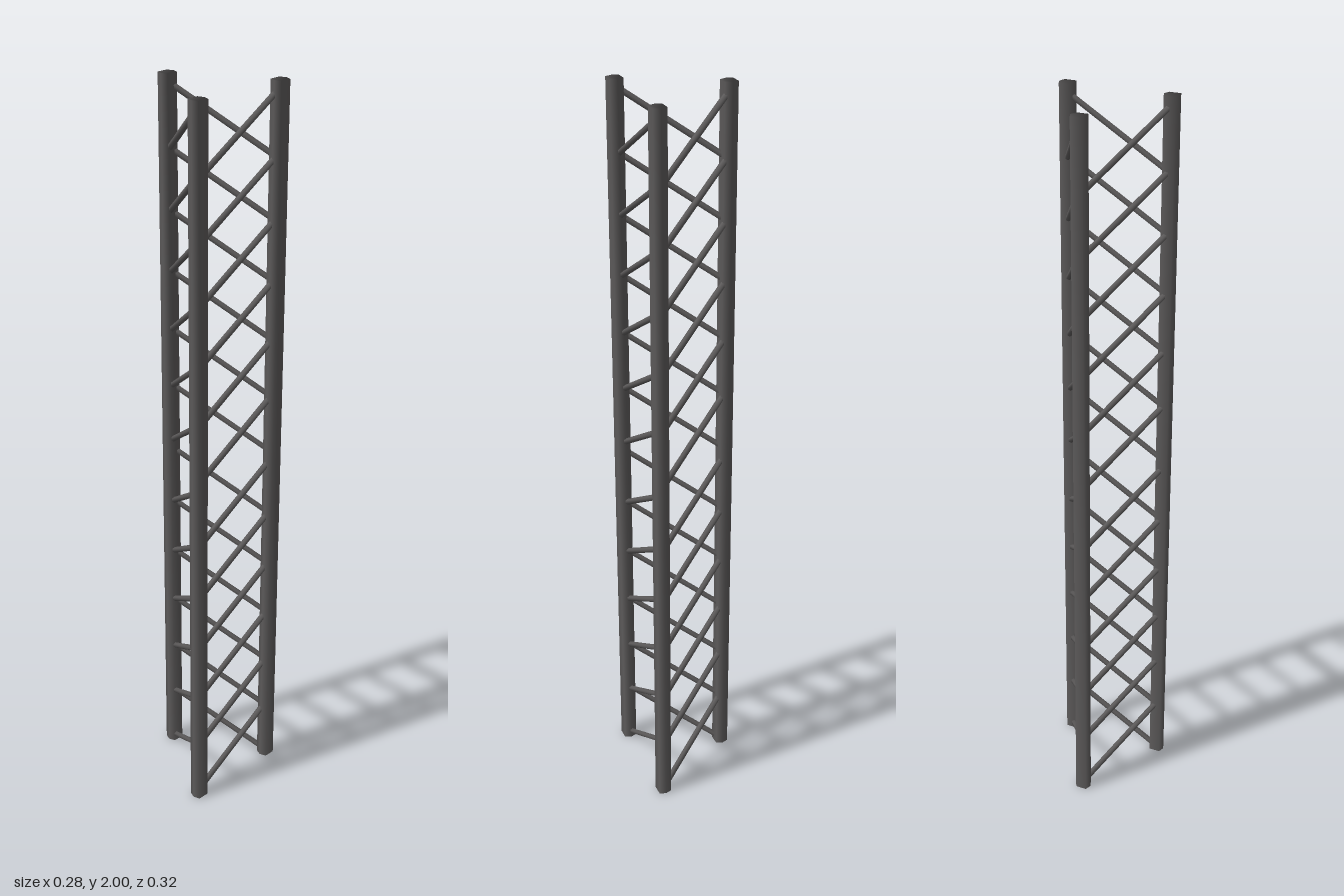
import * as THREE from 'three';
import { mergeVertices } from 'three/addons/utils/BufferGeometryUtils.js';

const steel = new THREE.MeshStandardMaterial({ color: 0x5c5a5a });
steel.name = 'dark steel';

// Share normals across sides and caps for a softly shaded bar
function soften(geometry) {
  geometry.deleteAttribute('uv');
  geometry.deleteAttribute('normal');
  const merged = mergeVertices(geometry);
  merged.computeVertexNormals();
  return merged;
}

// Upright pole: a square tube whose front and back faces rise to a shallow ridge
function pole(name, x, z) {
  const profile = new THREE.Shape([
    [0.0178, -0.0155], [0.0178, 0.0155], [0, 0.022],
    [-0.0178, 0.0155], [-0.0178, -0.0155], [0, -0.022],
  ].map(([px, py]) => new THREE.Vector2(px, py)));
  const geometry = new THREE.ExtrudeGeometry(profile, { depth: 2, bevelEnabled: false });
  geometry.rotateX(-Math.PI / 2);
  const mesh = new THREE.Mesh(soften(geometry), steel);
  mesh.name = name;
  mesh.position.set(x, 0, z);
  return mesh;
}

// Thin six-sided brace between two points
function brace(from, to) {
  const geometry = new THREE.CylinderGeometry(0.008, 0.008, from.distanceTo(to), 6);
  const mesh = new THREE.Mesh(soften(geometry), steel);
  mesh.name = 'brace';
  mesh.position.lerpVectors(from, to, 0.5);
  mesh.quaternion.setFromUnitVectors(
    new THREE.Vector3(0, 1, 0),
    to.clone().sub(from).normalize()
  );
  return mesh;
}

export function createModel() {
  const tower = new THREE.Group();
  tower.name = 'latticeTower';

  // Pole positions in the order the braces climb around the tower;
  // the braces meet slightly inside the pole centres
  const corners = [
    { name: 'front', x: 0.121, z: 0.1375, braceX: 0.117, braceZ: 0.1375 },
    { name: 'back', x: 0.121, z: -0.1375, braceX: 0.117, braceZ: -0.1375 },
    { name: 'side', x: -0.1215, z: 0.004, braceX: -0.1215, braceZ: 0.002 },
  ];
  const joint = (corner, y) => new THREE.Vector3(corner.braceX, y, corner.braceZ);

  // Upright poles
  for (const c of corners) tower.add(pole(c.name + 'Pole', c.x, c.z));

  // Two stacked sections, six parallel diagonal braces on each face
  const pitch = 0.161, rise = 0.084;
  corners.forEach((low, i) => {
    const high = corners[(i + 1) % 3];
    const face = new THREE.Group();
    face.name = low.name + 'FaceBraces';
    for (let section = 0; section < 2; section++) {
      for (let k = 0; k < 6; k++) {
        const y = section * 0.995 + 0.092 + k * pitch;
        face.add(brace(joint(low, y - rise), joint(high, y + rise)));
      }
    }
    tower.add(face);
  });

  return tower;
}
